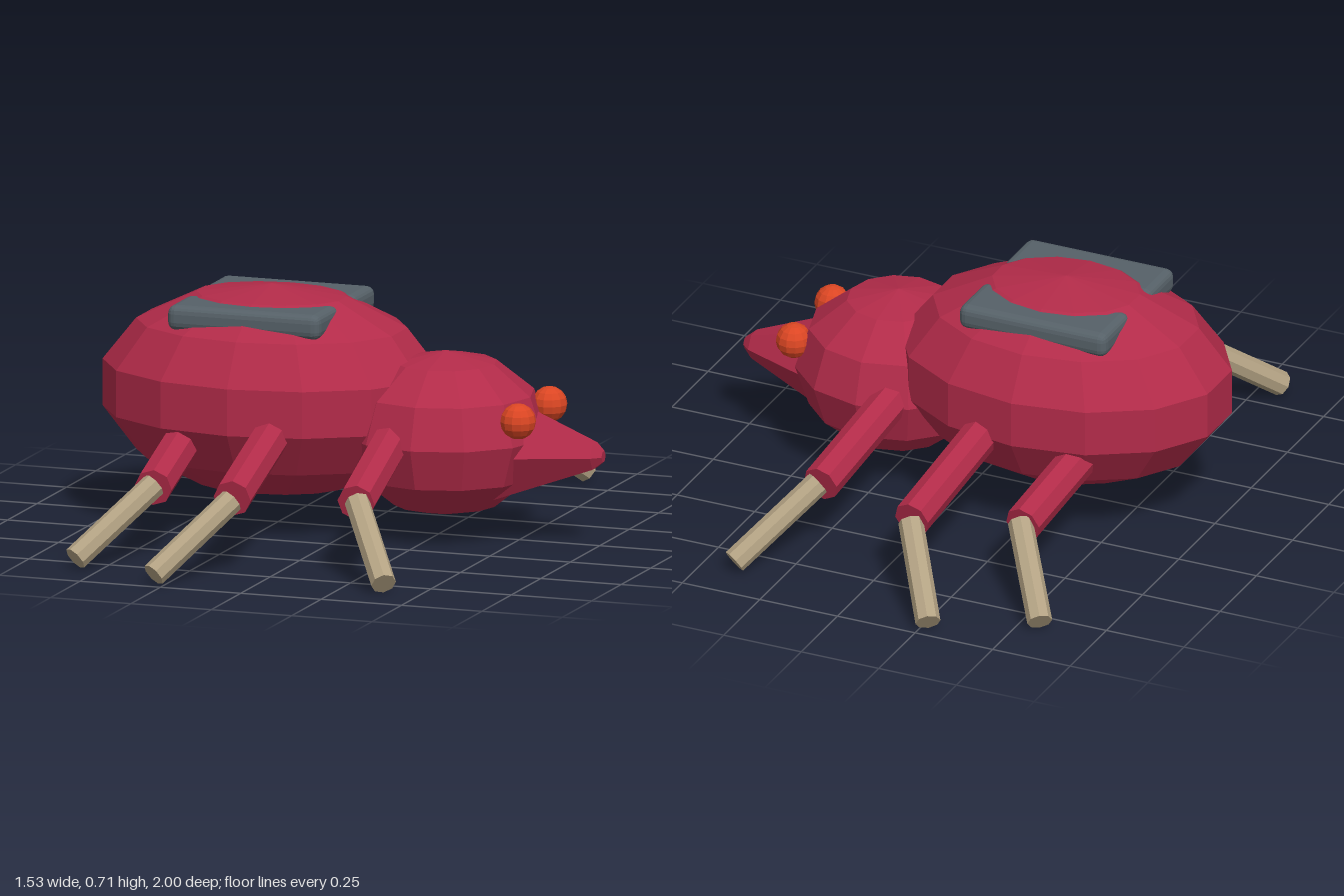
import * as THREE from 'three';
import { RoundedBoxGeometry } from 'three/addons/geometries/RoundedBoxGeometry.js';

function material(name, color) {
  const m = new THREE.MeshStandardMaterial({ color, flatShading: true });
  m.name = name;
  return m;
}

export function createModel() {
  const red = material('shell red', 0xb22b49);
  const tan = material('leg tan', 0xb3a283);
  const grey = material('plate grey', 0x566168);
  const orange = material('eye orange', 0xdb4623);
  const model = new THREE.Group();
  model.name = 'beetle';

  function add(name, geometry, mat, x = 0, y = 0, z = 0, parent = model) {
    const mesh = new THREE.Mesh(geometry, mat);
    mesh.name = name;
    mesh.position.set(x, y, z);
    parent.add(mesh);
    return mesh;
  }

  // Faceted ellipsoid with a column of corners at each side
  function ellipsoid(rx, ry, rz, sides, rings) {
    return new THREE.SphereGeometry(1, sides, rings, Math.PI / 2).scale(rx, ry, rz);
  }

  // Straight limb segment between two points
  function limb(name, from, to, radius, mat, parent) {
    const a = new THREE.Vector3(...from);
    const b = new THREE.Vector3(...to);
    const mesh = add(name, new THREE.CylinderGeometry(radius, radius, a.distanceTo(b), 8), mat, 0, 0, 0, parent);
    mesh.position.copy(a).add(b).multiplyScalar(0.5);
    mesh.quaternion.setFromUnitVectors(new THREE.Vector3(0, 1, 0), b.sub(a).normalize());
  }

  // Body and head
  add('abdomen', ellipsoid(0.521, 0.313, 0.39, 14, 7), red, -0.27, 0.403, 0);
  add('head', ellipsoid(0.305, 0.245, 0.298, 12, 6), red, 0.27, 0.31, 0);

  // Six-sided snout with a blunt tip, pointing along +x
  const profile = [[0, 0.44], [0.161, 0.44], [0.043, 0.735], [0.018, 0.762], [0, 0.762]]
    .map(([r, h]) => new THREE.Vector2(r, h));
  const snout = new THREE.LatheGeometry(profile, 6).rotateZ(-Math.PI / 2);
  add('snout', snout, red, 0, 0.272, 0);

  // Legs: [name, root, knee, ankle start, tip]
  const legs = [
    ['rearLeg', [-0.45, 0.3, 0.22], [-0.415, 0.215, 0.61], [-0.41, 0.225, 0.615], [-0.575, 0.036, 0.835]],
    ['middleLeg', [-0.16, 0.345, 0.25], [-0.12, 0.23, 0.745], [-0.12, 0.225, 0.75], [-0.28, 0.036, 0.975]],
    ['frontLeg', [0.18, 0.325, 0.2], [0.225, 0.22, 0.635], [0.23, 0.225, 0.64], [0.395, 0.036, 0.865]],
  ];

  for (const side of [1, -1]) {
    add('eye', new THREE.SphereGeometry(0.053, 12, 8), orange, 0.545, 0.388, side * 0.133);

    // Back plate sunk into the abdomen
    add('backPlate', new RoundedBoxGeometry(0.475, 0.075, 0.185, 2, 0.025), grey, -0.272, 0.642, side * 0.154);

    for (const [name, root, knee, ankle, tip] of legs) {
      const leg = new THREE.Group();
      leg.name = name;
      model.add(leg);
      const at = ([x, y, z]) => [x, y, z * side];
      limb('upperLeg', at(root), at(knee), 0.056, red, leg);
      limb('lowerLeg', at(ankle), at(tip), 0.037, tan, leg);
    }
  }
  return model;
}
